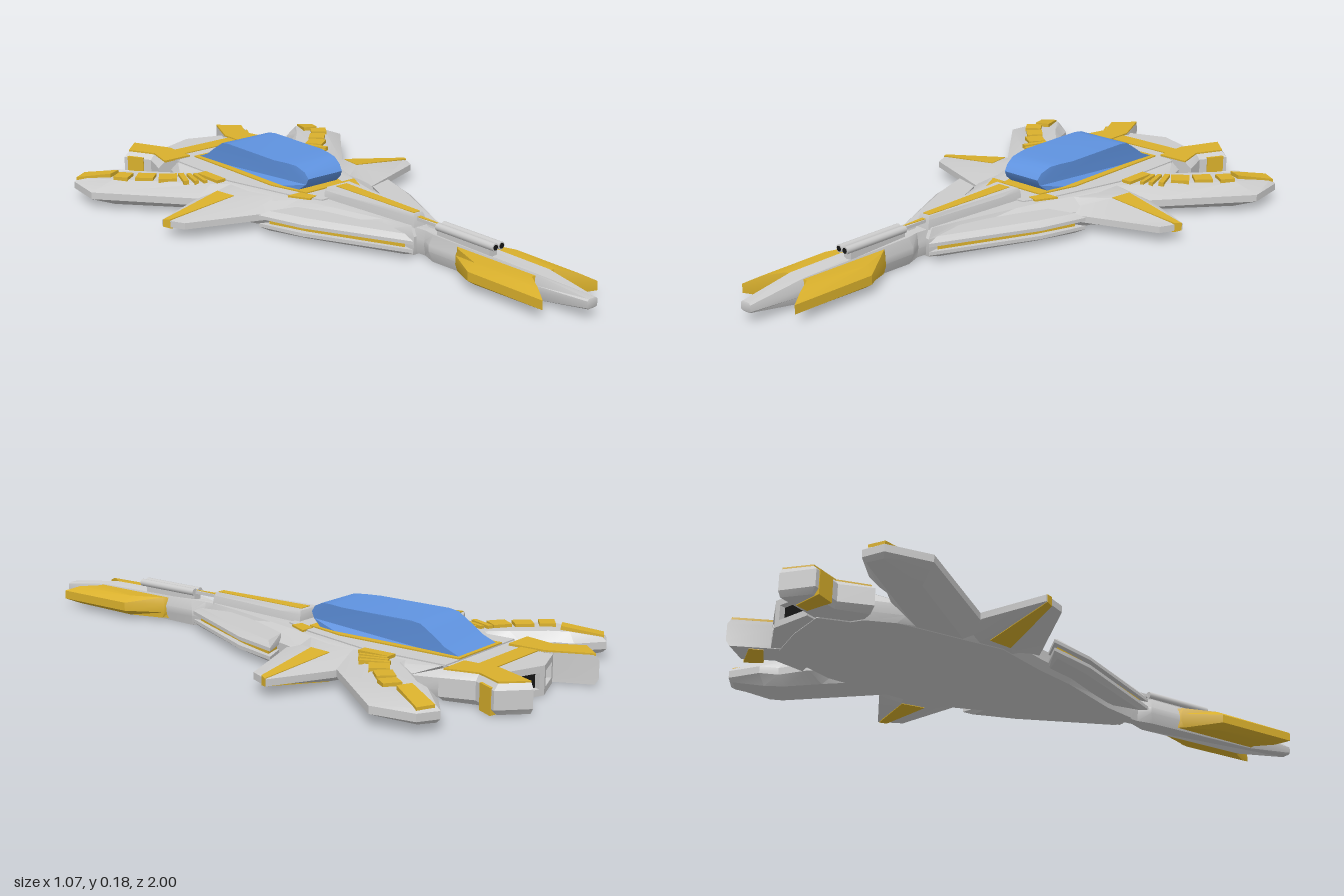
import * as THREE from 'three';
import { toCreasedNormals } from 'three/addons/utils/BufferGeometryUtils.js';

const grey = new THREE.MeshStandardMaterial({ color: 0xcccccc });
const yellow = new THREE.MeshStandardMaterial({ color: 0xd9b02c });
const blue = new THREE.MeshStandardMaterial({ color: 0x5f93e0 });
const dark = new THREE.MeshStandardMaterial({ color: 0x151515 });

// Closed solid through stacked outlines: each ring is { y, pts: [x, z, optional y] }, bottom to top
function solid(rings) {
  const flat = rings[0].pts.map(p => new THREE.Vector2(p[0], -p[1]));
  const flip = THREE.ShapeUtils.area(flat) < 0;
  const loops = rings.map(r => {
    const loop = r.pts.map(p => [p[0], p[2] ?? r.y, p[1]]);
    return flip ? loop.reverse() : loop;
  });
  const pos = [];
  const tri = (a, b, c) => pos.push(...a, ...b, ...c);
  for (let k = 0; k + 1 < loops.length; k++) {
    const lo = loops[k], hi = loops[k + 1];
    lo.forEach((a, i) => {
      const j = (i + 1) % lo.length;
      tri(a, lo[j], hi[j]);
      tri(a, hi[j], hi[i]);
    });
  }
  const cap = (loop, up) => {
    const faces = THREE.ShapeUtils.triangulateShape(loop.map(p => new THREE.Vector2(p[0], -p[2])), []);
    for (const [a, b, c] of faces) up ? tri(loop[a], loop[b], loop[c]) : tri(loop[a], loop[c], loop[b]);
  };
  cap(loops[0], false);
  cap(loops.at(-1), true);
  const g = new THREE.BufferGeometry();
  g.setAttribute('position', new THREE.Float32BufferAttribute(pos, 3));
  return toCreasedNormals(g, 0.45);
}

const slab = (pts, y0, y1) => solid([{ y: y0, pts }, { y: y1, pts }]);
const mirror = (pts, s) => pts.map(([x, ...rest]) => [x * s, ...rest]);
const whole = half => [...half, ...mirror(half, -1).filter(p => p[0] !== 0).reverse()];
const mix = (a, b, t) => a.map((p, i) => [p[0] + (b[i][0] - p[0]) * t, p[1] + (b[i][1] - p[1]) * t]);
// Reflects a top ring to the underside, about the mid height
const under = (pts, y) => pts.map(p => [p[0], p[1], 0.09 - (p[2] ?? y)]);

export function createModel() {
  const model = new THREE.Group();
  const add = (name, geo, mat = grey, parent = model) => {
    const m = new THREE.Mesh(geo, mat);
    m.name = name;
    parent.add(m);
    return m;
  };

  // Central hull with bevelled flanks
  const hullEdge = whole([[.035, .32], [.065, .2], [.16, 0], [.2, -.14], [.26, -.3], [.235, -.62], [.2, -.73], [.17, -.76], [.13, -.85], [0, -.86]]);
  const hullTop = whole([[.03, .3], [.05, .2], [.10, 0], [.13, -.12], [.19, -.3], [.19, -.7], [.16, -.73], [.12, -.75], [.12, -.85], [0, -.86]]);
  add('hull', solid([
    { y: 0, pts: mix(hullEdge, hullTop, .3) }, { y: .025, pts: hullEdge },
    { y: .06, pts: hullEdge }, { y: .09, pts: hullTop }]));
  add('cockpitDeck', slab(whole([[.08, -.06], [.125, -.17], [.185, -.42], [.185, -.71], [.13, -.71]]), .085, .094));
  add('cockpitFrame', slab(whole([[.08, -.14], [.115, -.28], [.115, -.71]]), .09, .098), yellow);
  add('tailStripe', slab(whole([[.12, -.77], [.12, -.83]]), .085, .093), yellow);

  // Canopy: side profile extruded across, narrowed towards the front
  const profile = [[-.19, .09], [-.15, .12], [-.14, .14], [-.155, .16], [-.19, .176], [-.23, .178], [-.28, .178],
    [-.53, .178], [-.565, .173], [-.61, .145], [-.65, .117], [-.7, .097], [-.7, .09], [-.28, .09]];
  const canopy = new THREE.ExtrudeGeometry(new THREE.Shape(profile.map(p => new THREE.Vector2(...p))),
    { depth: .2, bevelEnabled: false });
  canopy.translate(0, 0, -.1).rotateY(-Math.PI / 2);
  const cp = canopy.attributes.position;
  for (let i = 0; i < cp.count; i++) {
    const t = Math.max(0, (cp.getZ(i) + .28) / .14);
    cp.setX(i, cp.getX(i) * (1 - .3 * t));
  }
  add('canopy', toCreasedNormals(canopy, .7), blue);

  // Front spine and twin gun
  add('spine', solid([
    { y: .085, pts: whole([[.055, -.08], [.05, 0], [.025, .31]]) },
    { y: .115, pts: whole([[.052, -.08], [.047, 0], [.022, .305]]) },
    { y: .126, pts: whole([[.045, -.075], [.04, 0], [.018, .3]]) }]));
  add('spineStripe', slab(whole([[.022, -.06], [.013, .295]]), .12, .128), yellow);
  add('gunLink', new THREE.BoxGeometry(.02, .01, .14).translate(0, .109, .36));
  add('gunLinkStripe', slab([[-.008, .3], [.008, .3], [0, .42]], .11, .116), yellow);
  add('gunMount', new THREE.BoxGeometry(.03, .03, .22).translate(0, .088, .51));

  // Nose boom
  const boomEdge = whole([[.03, .28], [.02, .35], [.04, .39], [.04, .82], [.02, 1]]);
  const boomTop = whole([[.02, .28, .085], [.015, .35, .085], [.03, .4, .088], [.03, .81, .083], [.014, .998, .06]]);
  add('noseBoom', solid([
    { pts: under(boomTop) }, { y: .035, pts: boomEdge }, { y: .055, pts: boomEdge }, { pts: boomTop }]));

  for (const s of [1, -1]) {
    const side = new THREE.Group();
    side.name = s > 0 ? 'leftSide' : 'rightSide';
    model.add(side);
    const part = (name, rings, mat) => add(name, solid(rings.map(r => ({ y: r.y, pts: mirror(r.pts, s) }))), mat, side);
    const plate = (name, pts, y0, y1, mat) => part(name, [{ y: y0, pts }, { y: y1, pts }], mat);

    add('gunBarrel', new THREE.CylinderGeometry(.012, .012, .24, 16).rotateX(Math.PI / 2).translate(s * .0125, .11, .52), grey, side);
    add('gunBore', new THREE.CircleGeometry(.009, 16).translate(s * .0125, .11, .641), dark, side);

    // Nose fin, hexagonal in section
    const finEdge = [[.03, .5], [.045, .51], [.113, .63], [.113, .92], [.045, .82], [.03, .82]];
    const finTop = [[.03, .5, .08], [.045, .52, .08], [.085, .63, .078], [.085, .875, .075], [.045, .815, .08], [.03, .815, .08]];
    part('noseFin', [{ pts: under(finTop) }, { y: .03, pts: finEdge }, { y: .058, pts: finEdge }, { pts: finTop }], yellow);

    // Layered strake beside the front hull
    const strake = [[.05, .2], [.07, .355], [.228, .02], [.272, -.14], [.17, -.1], [.13, 0]];
    const strakeTop = [[.05, .18], [.072, .32], [.205, .02], [.25, -.115], [.16, -.09], [.12, 0]];
    part('strakeUpper', [{ y: .053, pts: strake }, { y: .064, pts: strake }, { y: .08, pts: strakeTop }]);
    part('strakeLower', [{ y: .015, pts: strakeTop }, { y: .026, pts: strake }, { y: .037, pts: strake }]);
    plate('strakeCore', strakeTop, .035, .055, yellow);

    // Side wing with its stripe on both faces
    const wingEdge = [[.15, -.13], [.3, -.185], [.478, -.25], [.512, -.325], [.32, -.42], [.15, -.45]];
    const wingTop = [[.15, -.2], [.26, -.285], [.49, -.3, .058], [.5, -.318, .056], [.27, -.365], [.15, -.41]];
    part('sideWing', [
      { pts: under(wingTop, .088) }, { y: .034, pts: wingEdge }, { y: .055, pts: wingEdge }, { y: .088, pts: wingTop }]);
    const stripe = [[.26, -.287, .09], [.5, -.298, .06], [.512, -.32, .057], [.27, -.363, .09]];
    part('sideWingStripe', [{ pts: under(stripe) }, { pts: stripe }], yellow);

    // Swept rear wing
    const rearEdge = [[.15, -.25], [.31, -.42], [.537, -.70], [.517, -.84], [.455, -.875], [.37, -.81], [.35, -.755], [.27, -.69], [.235, -.61], [.15, -.62]];
    const rearTop = [[.15, -.35], [.24, -.44], [.455, -.69], [.5, -.832, .068], [.455, -.862, .068], [.385, -.785], [.355, -.73], [.275, -.64], [.225, -.58], [.15, -.58]];
    part('rearWing', [
      { pts: under(rearTop, .088) }, { y: .034, pts: rearEdge }, { y: .057, pts: rearEdge }, { y: .088, pts: rearTop }]);
    const bar = [[.4, -.745, .097], [.445, -.725, .097], [.51, -.835, .072], [.462, -.862, .074]];
    part('wingTipBar', [{ pts: bar.map(([x, z, y]) => [x, z, y - .02]) }, { pts: bar }], yellow);

    // Curved row of yellow panels: centre x, z, length, width, heading
    const panels = [[.42, -.685, .05, .055, .95], [.368, -.63, .06, .055, .8], [.317, -.575, .06, .06, .62],
      [.282, -.535, .018, .09, .4], [.26, -.515, .014, .09, .3], [.24, -.5, .012, .09, .2], [.205, -.485, .034, .11, 0]];
    for (const [x, z, l, w, a] of panels) {
      const g = new THREE.BoxGeometry(l, .014, w).rotateY(s * a).translate(s * x, .091, z);
      add('wingPanel', g, yellow, side);
    }

    // Engine pod with yellow cover and band
    const pod = [[.12, -.73], [.12, -.85], [.185, -.995], [.265, -.92], [.215, -.83], [.25, -.73]];
    const podTop = [[.12, -.73], [.12, -.85], [.18, -.985], [.245, -.92], [.2, -.83], [.225, -.73]];
    part('enginePod', [{ y: .003, pts: podTop }, { y: .02, pts: pod }, { y: .075, pts: pod }, { y: .092, pts: podTop }]);
    plate('podCover', podTop, .09, .097, yellow);
    plate('podBand', [[.15, -.89], [.165, -.93], [.261, -.906], [.232, -.853]], .001, .08, yellow);

    // Exhaust: hollow frame facing back and slightly outwards
    const rect = (w, h) => [[-w, -h], [w, -h], [w, h], [-w, h]].map(p => new THREE.Vector2(...p));
    const frame = new THREE.Shape(rect(.066, .044));
    frame.holes.push(new THREE.Path(rect(.048, .024)));
    const exhaust = new THREE.Group();
    exhaust.name = 'exhaust';
    exhaust.position.set(s * .062, .046, -.9);
    exhaust.rotation.y = Math.PI - s * .35;
    side.add(exhaust);
    add('exhaustFrame', new THREE.ExtrudeGeometry(frame, { depth: .07, bevelEnabled: false }).translate(0, 0, -.07), grey, exhaust);
    add('exhaustInside', new THREE.BoxGeometry(.1, .052, .03).translate(0, 0, -.035), dark, exhaust);

    // Yellow patch ahead of the canopy
    plate('deckPatch', [[.07, -.1], [.105, -.09], [.14, -.16], [.09, -.16]], .085, .096, yellow);
  }

  // Centre the length on z = 0
  const box = new THREE.Box3().setFromObject(model);
  model.position.set(0, -box.min.y, -(box.min.z + box.max.z) / 2);
  return model;
}
